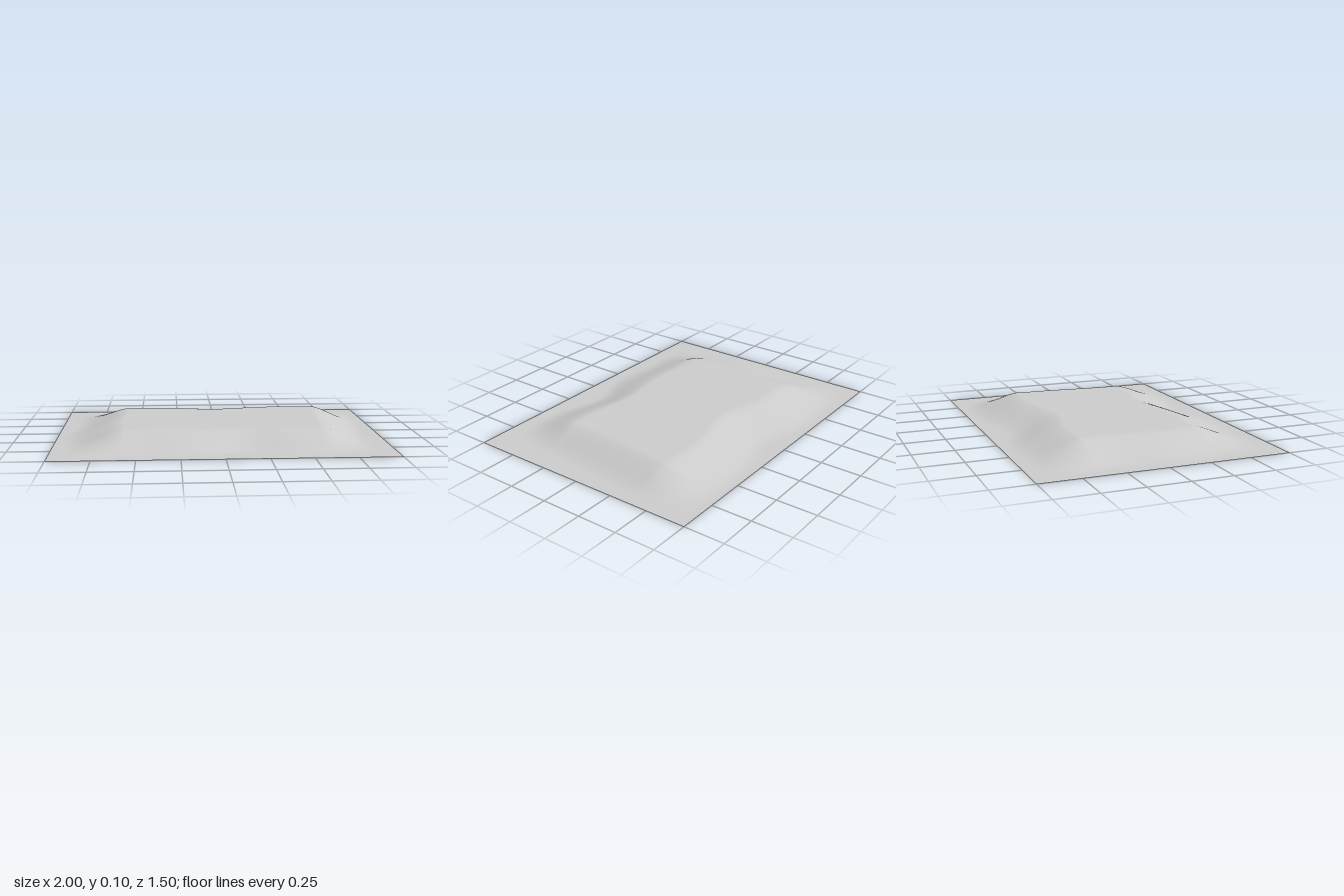
import * as THREE from 'three';

const W = 2, D = 1.5, PLATEAU = 0.094;

// Slope from 0 at the outer foot to 1 at the inner rim, with a soft foot and a firmer rim
function slope(pos, inner, outer) {
  const t = THREE.MathUtils.clamp((outer - pos) / (outer - inner), 0, 1);
  return t * t * (2.4 - 1.4 * t);
}

const bump = (v, centre, width) => Math.exp(-(((v - centre) / width) ** 2));

// Height of the ground: a flat-topped mound with a wavering rim on each side
function heightAt(x, z) {
  const dent = 0.06 * bump(x, 0.14, 0.2) + 0.012 * Math.sin(x * 9);
  const front = slope(z, 0.36 - 0.5 * dent, 0.68 - dent);

  const backDent = 0.06 * bump(x, -0.02, 0.22) + 0.01 * Math.sin(x * 8 + 1);
  const back = slope(-z, 0.37 - backDent, 0.71 - backDent);

  const lean = THREE.MathUtils.clamp((0.3 - z) / 0.65, 0, 1);
  const left = slope(x, 0.61 + 0.05 * lean, 0.88 + 0.06 * lean);

  const wave = 0.025 * Math.sin(z * 9 + 0.6);
  const right = slope(-x, 0.6 + wave * 0.5, 0.94 + wave);

  const ripple = 0.0012 * Math.sin(x * 7 + z * 5) * Math.cos(z * 8 - x * 3);
  const mound = front * back * left * right;
  return mound * (PLATEAU + ripple);
}

export function createModel() {
  const group = new THREE.Group();
  group.name = 'terrain';

  // Open ground sheet, raised vertex by vertex
  const geometry = new THREE.PlaneGeometry(W, D, 120, 90);
  geometry.rotateX(-Math.PI / 2);
  const p = geometry.attributes.position;
  for (let i = 0; i < p.count; i++) p.setY(i, heightAt(p.getX(i), p.getZ(i)));
  geometry.computeVertexNormals();

  const ground = new THREE.Mesh(
    geometry,
    new THREE.MeshStandardMaterial({ color: 0xcccccc, side: THREE.DoubleSide })
  );
  ground.name = 'raisedGround';
  group.add(ground);
  return group;
}
